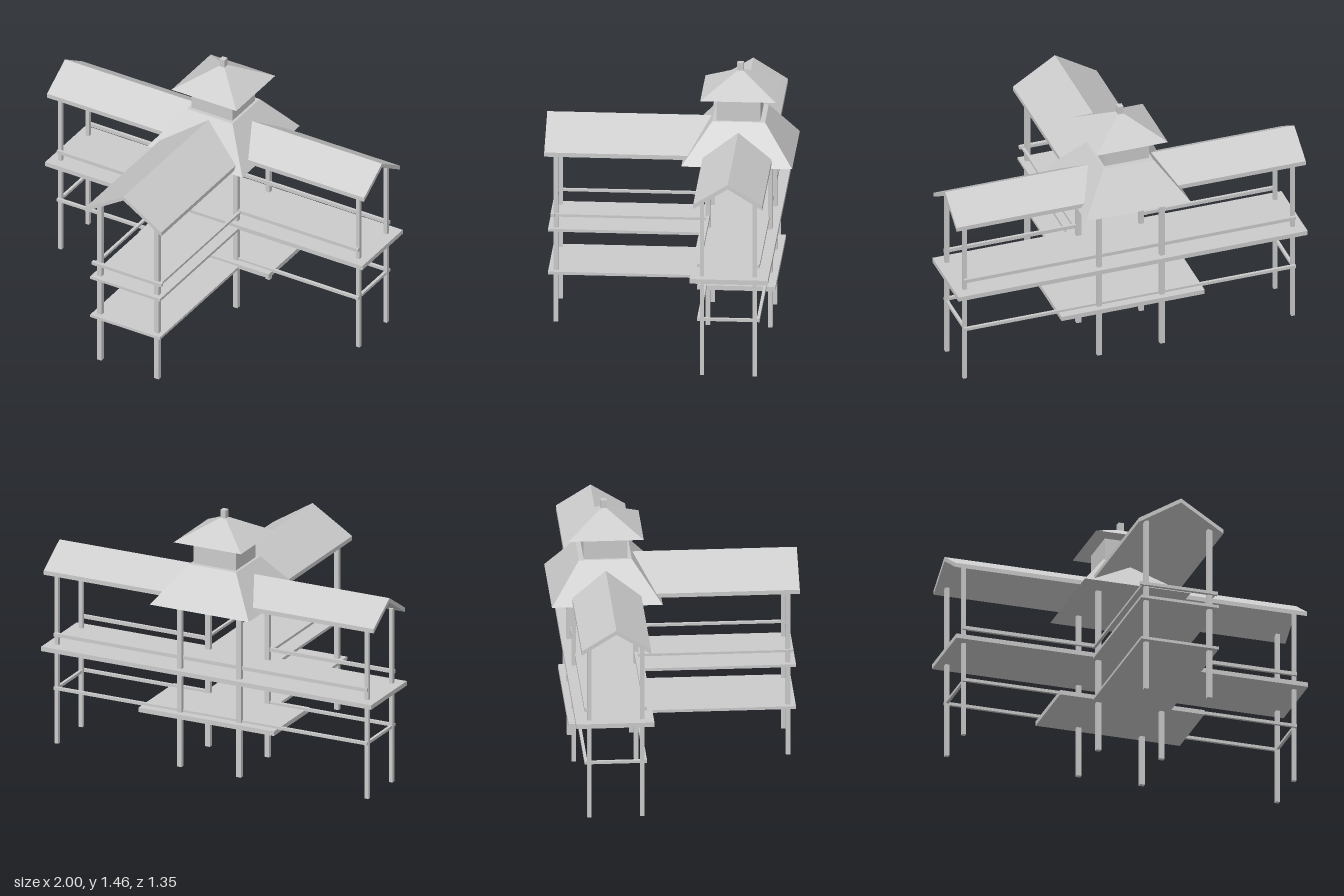
import * as THREE from 'three';

const material = new THREE.MeshStandardMaterial({ color: 0xcccccc, flatShading: true });
const TOWER_Z = -0.373;

export function createModel() {
  const model = new THREE.Group();
  model.name = 'stiltPavilion';

  const add = (name, geometry) => {
    const mesh = new THREE.Mesh(geometry, material);
    mesh.name = name;
    model.add(mesh);
    return mesh;
  };

  // Box given by its extents on each axis
  const box = (name, [x0, x1], [y0, y1], [z0, z1]) => {
    const mesh = add(name, new THREE.BoxGeometry(x1 - x0, y1 - y0, z1 - z0));
    mesh.position.set((x0 + x1) / 2, (y0 + y1) / 2, (z0 + z1) / 2);
    return mesh;
  };
  const around = (c, size) => [c - size / 2, c + size / 2];

  // Square frustum over the tower axis
  const frustum = (name, bottomHalf, topHalf, y0, y1) => {
    const g = new THREE.CylinderGeometry(topHalf * Math.SQRT2, bottomHalf * Math.SQRT2, y1 - y0, 4);
    g.rotateY(Math.PI / 4);
    add(name, g).position.set(0, (y0 + y1) / 2, TOWER_Z);
  };

  // Thin gable roof, extruded along +z
  const gable = (half, ridge, eave, thick, length) => {
    const s = new THREE.Shape([
      [-half, eave - thick], [0, ridge - thick], [half, eave - thick],
      [half, eave], [0, ridge], [-half, eave],
    ].map(([x, y]) => new THREE.Vector2(x, y)));
    return new THREE.ExtrudeGeometry(s, { depth: length, bevelEnabled: false });
  };

  // Tower: hipped roof, lantern, upper roof and finial
  frustum('towerRoof', 0.3, 0.143, 0.957, 1.164);
  box('lantern', [-0.128, 0.128], [1.16, 1.302], around(-0.371, 0.236));
  frustum('lanternRoof', 0.204, 0.016, 1.3, 1.412);
  box('finial', [-0.016, 0.016], [1.405, 1.457], around(TOWER_Z, 0.034));

  // Front wing: roof, two floors and end railing
  add('frontWingRoof', gable(0.24, 1.147, 0.997, 0.024, 0.923)).position.z = -0.25;
  box('frontUpperFloor', [-0.22, 0.22], [0.535, 0.551], [-0.18, 0.654]);
  box('frontLowerFloor', [-0.22, 0.22], [0.289, 0.305], [-0.18, 0.654]);
  box('frontEndRail', [-0.22, 0.22], [0.62, 0.638], [0.62, 0.64]);

  // Cross floors
  box('mainFloor', [-1, 1], [0.543, 0.569], [-0.59, -0.167]);
  box('lowerLanding', [-0.41, 0.41], [0.292, 0.318], [-0.59, -0.167]);

  // Back rails run the full length
  box('backRail', [-0.95, 0.95], [0.62, 0.64], around(-0.534, 0.016));
  box('backLowerRail', [-0.95, 0.95], [0.313, 0.33], around(-0.534, 0.016));

  for (const s of [-1, 1]) {
    const mirrored = (a, b) => (s > 0 ? [a, b] : [-b, -a]);

    // Side wing roof
    const roof = add('sideWingRoof', gable(0.187, 1.115, 0.998, 0.025, 0.85));
    roof.rotation.y = s * Math.PI / 2;
    roof.position.set(s * 0.15, 0, TOWER_Z);

    // Posts
    for (const z of [-0.23, -0.516]) {
      box('sideWingPost', around(s * 0.94, 0.022), [0, 1.0], around(z, 0.022));
    }
    box('frontPost', around(s * 0.18, 0.028), [0.01, 1.01], around(0.613, 0.025));
    box('towerFrontPost', around(s * 0.18, 0.028), [0.01, 1.02], around(-0.21, 0.024));
    box('towerBackPost', around(s * 0.18, 0.028), [0.005, 0.98], around(-0.547, 0.024));

    // Railings
    box('frontWingRail', around(s * 0.2, 0.016), [0.618, 0.632], [-0.22, 0.64]);
    box('sideFrontRail', mirrored(0.18, 0.95), [0.62, 0.64], around(-0.212, 0.016));
    box('sideLowerRail', mirrored(0.18, 0.95), [0.313, 0.33], around(-0.212, 0.016));
    box('endLowerRail', around(s * 0.94, 0.016), [0.311, 0.327], [-0.542, -0.204]);
  }

  return model;
}
